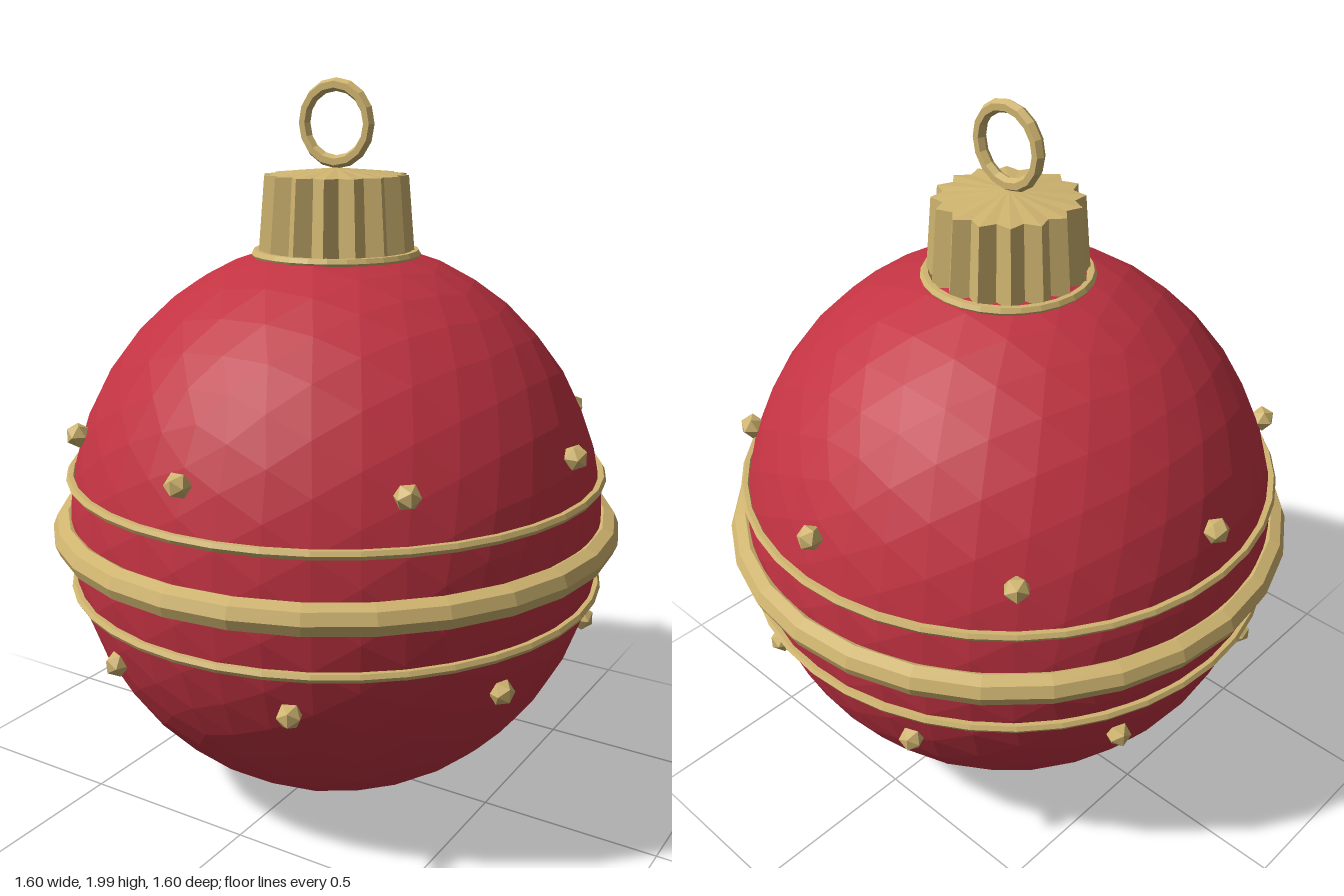
import * as THREE from 'three';

const CENTRE = 0.79; // height of the ball's middle

export function createModel() {
  const red = new THREE.MeshStandardMaterial({ color: 0xc23342, flatShading: true });
  red.name = 'red';
  const gold = new THREE.MeshStandardMaterial({ color: 0xd0b570, flatShading: true });
  gold.name = 'gold';

  const model = new THREE.Group();
  model.name = 'ornament';
  const add = (name, geometry, material, x = 0, y = 0, z = 0, parent = model) => {
    const mesh = new THREE.Mesh(geometry, material);
    mesh.name = name;
    mesh.position.set(x, y, z);
    parent.add(mesh);
    return mesh;
  };

  // Faceted ball, slightly taller than wide
  const ball = new THREE.IcosahedronGeometry(0.75, 6);
  ball.scale(1, 1.045, 1);
  add('ball', ball, red, 0, CENTRE);

  // Horizontal bands around the ball and under the cap
  const band = (name, radius, tube, y, sides, segments) => {
    const g = new THREE.TorusGeometry(radius, tube, sides, segments);
    g.rotateX(Math.PI / 2);
    add(name, g, gold, 0, y);
  };
  band('middleBand', 0.757, 0.043, CENTRE, 8, 28);
  band('upperBand', 0.742, 0.013, CENTRE + 0.155, 6, 40);
  band('lowerBand', 0.742, 0.013, CENTRE - 0.155, 6, 40);
  band('capCollar', 0.217, 0.014, 1.54, 6, 28);

  // Two staggered rows of studs
  const stud = new THREE.IcosahedronGeometry(0.035, 0);
  const studRow = (name, radius, y, offset) => {
    const row = new THREE.Group();
    row.name = name;
    for (let i = 0; i < 8; i++) {
      const a = offset + (i * Math.PI) / 4;
      const m = add('stud', stud, gold, radius * Math.sin(a), y, radius * Math.cos(a), row);
      m.rotation.y = a;
    }
    model.add(row);
  };
  studRow('upperStuds', 0.715, 1.07, 0);
  studRow('lowerStuds', 0.71, 0.515, Math.PI / 8);

  // Fluted cap: every other column of the lathe is pulled inwards
  const flutes = 16;
  const profile = [[0, 1.5], [0.218, 1.5], [0.214, 1.545], [0.196, 1.75], [0, 1.768]]
    .map(([r, y]) => new THREE.Vector2(r, y));
  const cap = new THREE.LatheGeometry(profile, flutes * 2);
  const p = cap.attributes.position;
  for (let i = 0; i < p.count; i++) {
    if (Math.floor(i / profile.length) % 2) {
      p.setX(i, p.getX(i) * 0.86);
      p.setZ(i, p.getZ(i) * 0.86);
    }
  }
  cap.computeVertexNormals();
  add('cap', cap, gold);

  // Hanging ring
  add('hangingRing', new THREE.TorusGeometry(0.1, 0.0175, 6, 16), gold, 0, 1.8825);

  return model;
}
